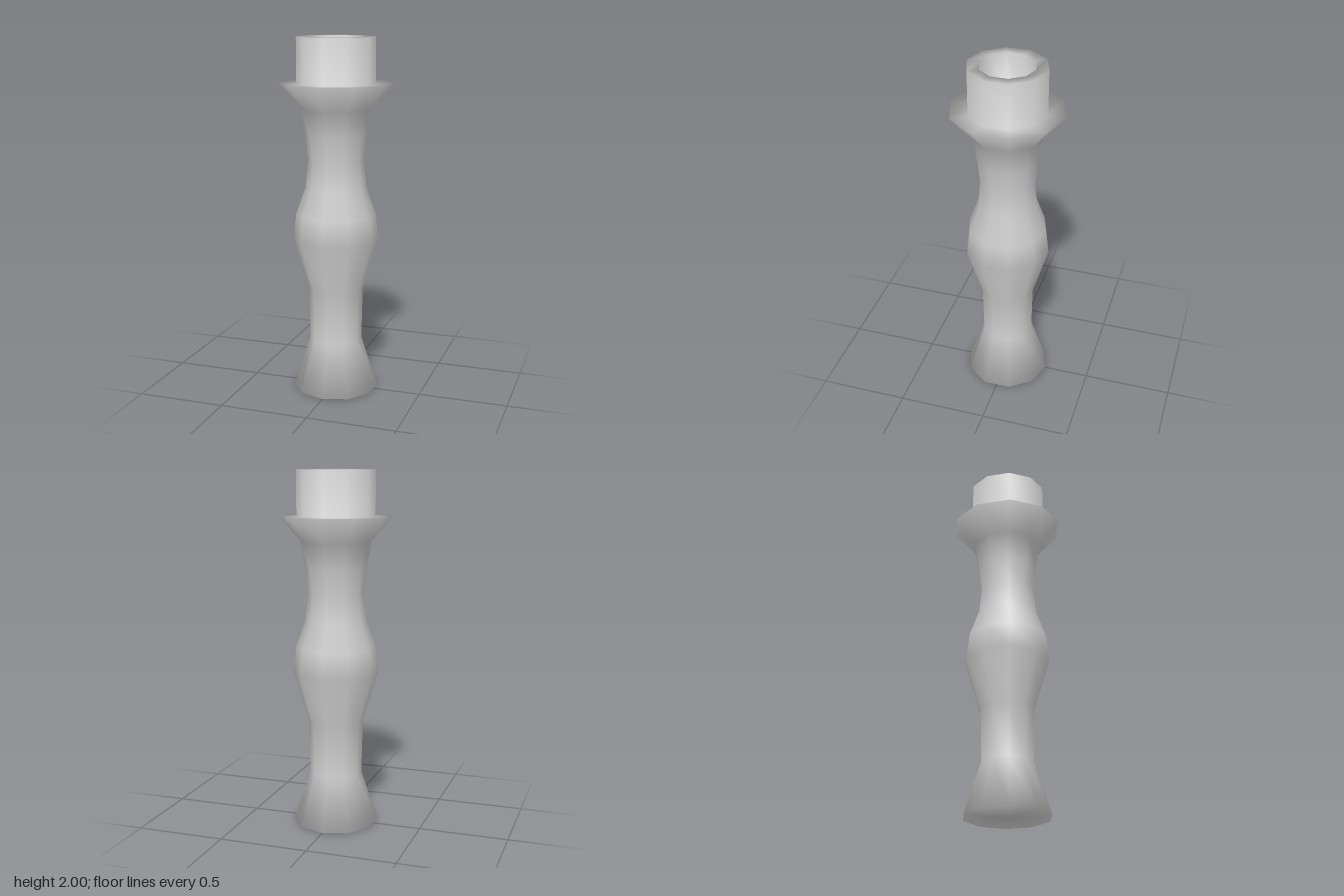
import * as THREE from 'three';

export function createModel() {
  const group = new THREE.Group();
  const material = new THREE.MeshStandardMaterial({ color: 0xcccccc });

  // Turned profile as [radius, height], from the underside up and into the socket
  const profile = [
    [0, 0], [0.24, 0],              // underside and foot
    [0.147, 0.29], [0.153, 0.59],   // lower neck
    [0.24, 0.88], [0.223, 1.02],    // swelling
    [0.17, 1.17], [0.155, 1.32],    // upper neck
    [0.17, 1.46], [0.195, 1.61],
    [0.315, 1.75], [0.217, 1.75],   // flared collar
    [0.217, 2], [0.153, 2],         // socket wall and rim
    [0.153, 1.75], [0, 1.75],       // socket interior
  ].map(([r, y]) => new THREE.Vector2(r, y));

  // Ten-sided smooth turning, with a corner facing front
  const candlestick = new THREE.Mesh(new THREE.LatheGeometry(profile, 10), material);
  candlestick.name = 'candlestick';
  group.add(candlestick);
  return group;
}
